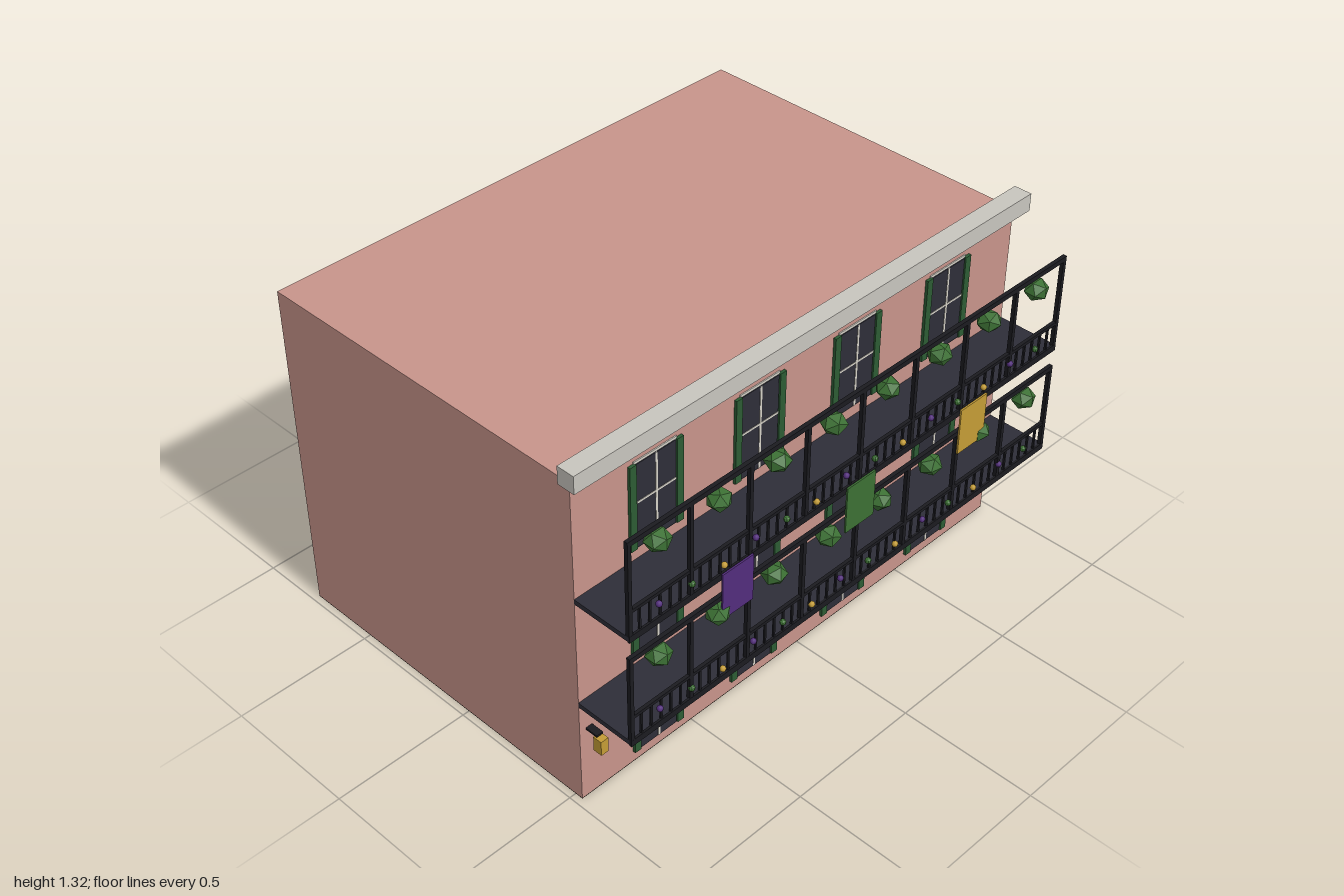
import * as THREE from 'three';

const mat = (name, color, extra = {}) => {
  const m = new THREE.MeshStandardMaterial({ color, ...extra });
  m.name = name;
  return m;
};

export function createModel() {
  const stucco = mat('pink stucco', 0xc8948b);
  const stone = mat('pale stone', 0xc8c5be);
  const iron = mat('black iron', 0x1b1b20);
  const slate = mat('dark slate', 0x2e2e38);
  const shutterGreen = mat('shutter green', 0x2c5c34);
  const trim = mat('window trim', 0xd6d2c8);
  const leaf = mat('leaf green', 0x3c7034, { flatShading: true });
  const purple = mat('purple', 0x522d7c);
  const gold = mat('gold', 0xc49c36);
  const earth = mat('dark earth', 0x2a2019);

  const model = new THREE.Group();
  model.name = 'balconyHouse';

  // Box given by its centre and size
  const box = (parent, name, m, x, y, z, w, h, d) => {
    const mesh = new THREE.Mesh(new THREE.BoxGeometry(w, h, d), m);
    mesh.position.set(x, y, z);
    mesh.name = name;
    parent.add(mesh);
    return mesh;
  };
  const group = (parent, name) => {
    const g = new THREE.Group();
    g.name = name;
    parent.add(g);
    return g;
  };

  const FRONT = 0.53, RAIL_Z = 0.747;

  // Main block, underside and roof cornice
  box(model, 'walls', stucco, 0, 0.6285, -0.122, 1.95, 1.251, 1.304);
  box(model, 'underside', earth, 0, 0.0015, -0.122, 1.95, 0.003, 1.304);
  box(model, 'cornice', stone, 0, 1.286, 0.543, 2, 0.064, 0.066);

  // Shuttered windows: three floors of four
  for (const y of [0.2, 0.612, 1.027]) {
    for (const x of [-0.65, -0.217, 0.217, 0.65]) {
      const win = group(model, 'window');
      win.position.set(x, y, FRONT);
      box(win, 'windowFrame', trim, 0, 0.002, 0.002, 0.172, 0.322, 0.004);
      box(win, 'glass', slate, 0, 0, 0.004, 0.156, 0.308, 0.006);
      box(win, 'mullion', trim, 0, 0, 0.007, 0.008, 0.308, 0.003);
      box(win, 'crossbar', trim, 0, 0.015, 0.007, 0.156, 0.007, 0.003);
      for (const s of [-1, 1]) {
        box(win, 'shutter', shutterGreen, s * 0.094, 0, 0.005, 0.026, 0.312, 0.011);
      }
    }
  }

  // Balconies
  const leafGeo = new THREE.IcosahedronGeometry(0.042, 0);
  const beadGeo = new THREE.SphereGeometry(0.011, 8, 6);
  const beadMats = [purple, leaf, gold];
  const beadHeights = [0.054, 0.044, 0.031];
  const buildBalcony = (name, floorY, topY) => {
    const b = group(model, name);
    const deck = floorY + 0.009;
    box(b, 'deck', slate, 0, floorY, 0.64, 1.95, 0.018, 0.22);
    box(b, 'deckEdge', iron, 0, floorY, 0.7505, 1.95, 0.024, 0.008);
    box(b, 'topRail', iron, 0, topY - 0.009, RAIL_Z, 1.95, 0.018, 0.014);
    box(b, 'handRail', iron, 0, floorY + 0.1, RAIL_Z, 1.94, 0.012, 0.012);
    // Posts, and a hanging fern in each bay
    for (let i = 0; i < 9; i++) {
      const x = -0.968 + i * 0.242;
      box(b, 'post', iron, x, (deck + topY) / 2, RAIL_Z, 0.014, topY - deck, 0.014);
      if (i === 8) continue;
      const fern = new THREE.Mesh(leafGeo, leaf);
      fern.name = 'hangingFern';
      fern.position.set(x + 0.121, topY - 0.073, 0.74);
      fern.scale.set(1.05, 0.9, 1);
      fern.rotation.y = i * 0.9;
      b.add(fern);
    }
    // Balusters
    for (let i = 1; i < 48; i++) {
      if (i % 6 === 0) continue;
      box(b, 'baluster', iron, -0.968 + i * 0.04033, floorY + 0.05, RAIL_Z, 0.007, 0.1, 0.007);
    }
    // Festive beads along the railing
    for (let i = 0; i < 14; i++) {
      const bead = new THREE.Mesh(beadGeo, beadMats[i % 3]);
      bead.name = 'bead';
      bead.position.set((i - 6.5) * 0.132, floorY + 0.008 + beadHeights[i % 3], 0.754);
      b.add(bead);
    }
  };
  buildBalcony('lowerBalcony', 0.404, 0.742);
  buildBalcony('upperBalcony', 0.817, 1.175);

  // Banners hung from the upper balcony
  [purple, leaf, gold].forEach((m, i) => {
    box(model, 'banner', m, (i - 1) * 0.542, 0.742, 0.759, 0.13, 0.175, 0.006);
  });

  // Wall lanterns
  for (const s of [-1, 1]) {
    const lantern = group(model, 'lantern');
    lantern.position.set(s * 0.937, 0, 0);
    box(lantern, 'lanternBody', gold, 0, 0.25, 0.581, 0.03, 0.056, 0.034);
    box(lantern, 'lanternBracket', iron, 0, 0.287, 0.554, 0.026, 0.007, 0.048);
  }

  return model;
}
